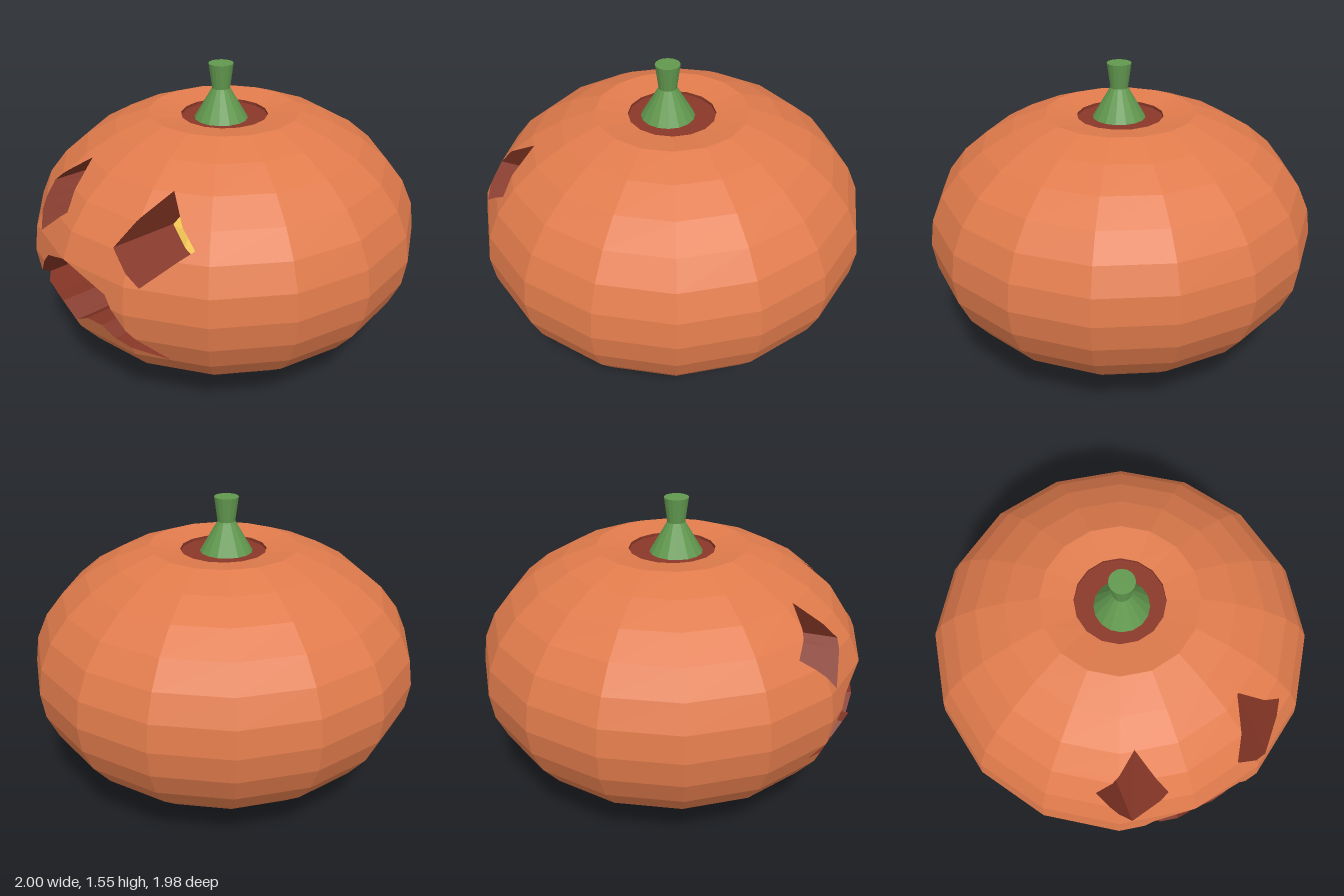
import * as THREE from 'three';

const SIDES = 16, RY = 0.683, DEPTH = 0.33;

// Carved outlines in the front plane, counter-clockwise
const OUTLINES = [
  [[-0.43, 1.0], [-0.31, 0.82], [-0.11, 0.98], [-0.2, 1.17]],
  [[0.26, 0.95], [0.435, 0.82], [0.575, 0.99], [0.35, 1.17]],
  [[-0.44, 0.49], [-0.21, 0.48], [-0.16, 0.55], [-0.07, 0.55], [0.02, 0.48], [0.13, 0.55], [0.22, 0.55],
    [0.27, 0.485], [0.36, 0.47], [0.5, 0.425], [0.27, 0.74], [0, 0.82], [-0.2, 0.74]],
].map((o) => o.map(([x, y]) => new THREE.Vector2(x, y)));

// Signed side of point p against line a-b, positive on the left
const side = (p, a, b) => (b.x - a.x) * (p.y - a.y) - (b.y - a.y) * (p.x - a.x);

// Split a convex polygon by line a-b into its left and right parts
function split(poly, a, b) {
  const left = [], right = [];
  poly.forEach((p, i) => {
    const q = poly[(i + 1) % poly.length];
    const s = side(p, a, b), t = side(q, a, b);
    if (s >= 0) left.push(p);
    if (s <= 0) right.push(p);
    if (s * t < 0) {
      const m = p.clone().lerp(q, s / (s - t));
      left.push(m);
      right.push(m);
    }
  });
  return [left, right];
}

const area = (poly) => {
  const n = new THREE.Vector3();
  for (let i = 1; i + 1 < poly.length; i++) {
    n.add(poly[i].clone().sub(poly[0]).cross(poly[i + 1].clone().sub(poly[0])));
  }
  return n.length();
};

// Cut a convex piece out of a polygon: returns the inside, adds the rest to out
function cut(poly, piece, out) {
  let rest = poly;
  for (let i = 0; i < piece.length; i++) {
    const [left, right] = split(rest, piece[i], piece[(i + 1) % piece.length]);
    if (right.length > 2 && area(right) > 1e-8) out.push(right);
    rest = left;
    if (rest.length < 3 || area(rest) < 1e-8) return null;
  }
  return rest;
}

// Mesh from a list of convex polygons
function polyMesh(name, polys, color) {
  const pos = [];
  for (const p of polys) {
    for (let i = 1; i + 1 < p.length; i++) {
      for (const v of [p[0], p[i], p[i + 1]]) pos.push(v.x, v.y, v.z);
    }
  }
  const g = new THREE.BufferGeometry();
  g.setAttribute('position', new THREE.Float32BufferAttribute(pos, 3));
  g.computeVertexNormals();
  return addName(new THREE.Mesh(g, flat(color)), name);
}

const flat = (color) => new THREE.MeshStandardMaterial({ color, flatShading: true, side: THREE.DoubleSide });
const addName = (mesh, name) => Object.assign(mesh, { name });

// Facets of the squashed round shell, ending in a shallow dip at the top
function shellFacets() {
  const profile = [];
  for (let k = 0; k <= 14; k++) {
    const t = (Math.PI * k) / 16;
    profile.push([Math.sin(t), RY - RY * Math.cos(t)]);
  }
  profile.push([0.22, 1.292]);
  const at = ([r, y], i) => {
    const a = (2 * Math.PI * i) / SIDES;
    return new THREE.Vector3(r * Math.sin(a), y, r * Math.cos(a));
  };
  const facets = [];
  for (let k = 0; k + 1 < profile.length; k++) {
    for (let i = 0; i < SIDES; i++) {
      const f = [at(profile[k], i), at(profile[k], i + 1), at(profile[k + 1], i + 1), at(profile[k + 1], i)];
      if (k === 0) f.shift();
      facets.push(f);
    }
  }
  return facets;
}

export function createModel() {
  const model = new THREE.Group();
  model.name = 'carvedPumpkin';

  // Carve the outlines into the front facets
  let skin = shellFacets();
  const floors = [], walls = [];
  const back = (v) => new THREE.Vector3(v.x, v.y, v.z - DEPTH);
  for (const outline of OUTLINES) {
    for (const tri of THREE.ShapeUtils.triangulateShape(outline, [])) {
      const piece = tri.map((i) => outline[i]);
      if (side(piece[2], piece[0], piece[1]) < 0) piece.reverse();
      const next = [];
      for (const f of skin) {
        if (f.some((v) => v.z < 0.05)) {
          next.push(f);
          continue;
        }
        const pieces = [];
        const inside = cut(f, piece, pieces);
        if (!inside) {
          next.push(f);
          continue;
        }
        next.push(...pieces);
        floors.push(inside.map(back));
        // Walls where the piece meets the outline
        inside.forEach((p, i) => {
          const q = inside[(i + 1) % inside.length];
          const onEdge = outline.some((a, j) => {
            const b = outline[(j + 1) % outline.length];
            const len = a.distanceTo(b);
            return [p, q].every((v) => Math.abs(side(v, a, b)) < 1e-6 * len
              && Math.hypot(v.x - a.x, v.y - a.y) + Math.hypot(v.x - b.x, v.y - b.y) < len + 1e-5);
          });
          if (onEdge) walls.push([p, q, back(q), back(p)]);
        });
      }
      skin = next;
    }
  }
  model.add(polyMesh('skin', skin, 0xe07b4c));
  model.add(polyMesh('carvedWalls', walls, 0x843525));
  model.add(polyMesh('glowingInside', floors, 0xf8ca55));

  // Dark cup around the stem
  const cup = new THREE.LatheGeometry([[0, 1.275], [0.22, 1.277], [0.22, 1.292]].map((p) => new THREE.Vector2(...p)), SIDES);
  model.add(addName(new THREE.Mesh(cup, flat(0x8a3828)), 'stemCup'));

  // Flared stem
  const stemProfile = [[0, 1.276], [0.135, 1.276], [0.045, 1.43], [0.062, 1.555], [0, 1.555]];
  const stem = new THREE.LatheGeometry(stemProfile.map((p) => new THREE.Vector2(...p)), SIDES);
  stem.translate(0, 0, 0.022);
  model.add(addName(new THREE.Mesh(stem, flat(0x62994f)), 'stem'));
  return model;
}
